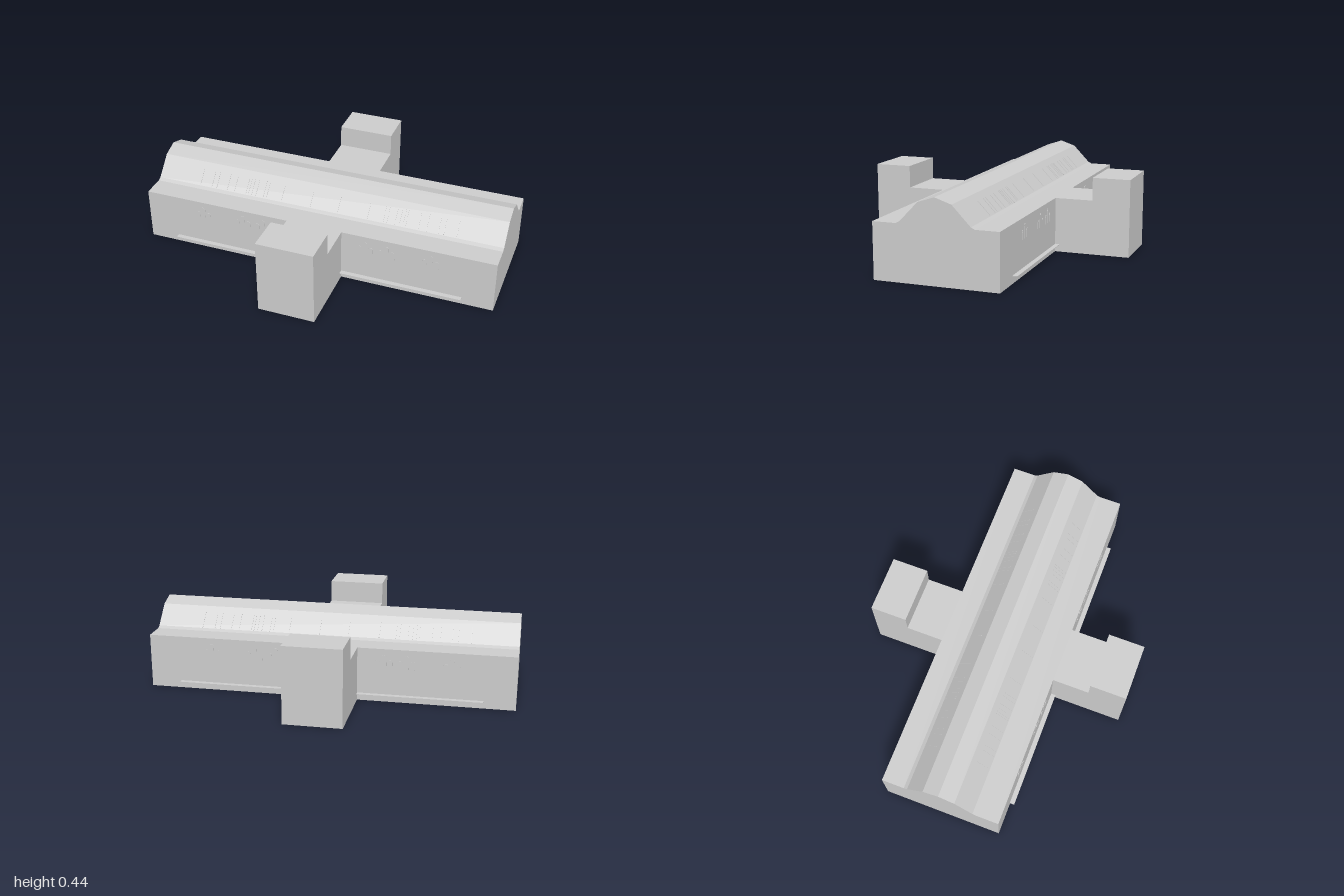
import * as THREE from 'three';

const material = new THREE.MeshStandardMaterial({ color: 0xcccccc, flatShading: true });

function shapeOf(points) {
  return new THREE.Shape(points.map(([x, y]) => new THREE.Vector2(x, y)));
}

// Extrude a (z, y) profile along x, centred on x = 0
function extrudeAlongX(points, length) {
  const g = new THREE.ExtrudeGeometry(shapeOf(points), { depth: length, bevelEnabled: false });
  g.translate(0, 0, -length / 2);
  g.rotateY(-Math.PI / 2);
  return g;
}

function add(parent, name, geometry) {
  const mesh = new THREE.Mesh(geometry, material);
  mesh.name = name;
  parent.add(mesh);
  return mesh;
}

// Round-headed window pane standing on y = 0, facing +z
function archedPane(width, height) {
  const r = width / 2;
  const s = new THREE.Shape();
  s.moveTo(-r, 0);
  s.lineTo(r, 0);
  s.lineTo(r, height - r);
  s.absarc(0, height - r, r, 0, Math.PI, false);
  s.lineTo(-r, 0);
  return new THREE.ExtrudeGeometry(s, { depth: 0.002, bevelEnabled: false, curveSegments: 6 });
}

const WALL_Z = 0.33, EAVE = 0.295, ARM_X = 0.157;
const WINDOW_X = [-0.66, -0.42, -0.3, 0.29, 0.41, 0.65];
const RIB_X = [0.08, 0.25, 0.34, 0.36, 0.405, 0.43, 0.45, 0.465, 0.535, 0.58, 0.645, 0.675, 0.745];

// Everything on one long side, built facing +z
function createSide() {
  const side = new THREE.Group();

  // Projecting wing with its raised end block
  add(side, 'wing', extrudeAlongX([
    [WALL_Z, 0], [0.738, 0], [0.738, 0.418], [0.535, 0.418], [0.535, EAVE], [WALL_Z, EAVE],
  ], ARM_X * 2));

  // Thin ledges low on the wall, either side of the wing
  for (const s of [-1, 1]) {
    const ledge = add(side, 'wallLedge', new THREE.BoxGeometry(0.83 - ARM_X, 0.003, 0.026));
    ledge.position.set(s * (0.83 + ARM_X) / 2, 0.04, WALL_Z + 0.013);
  }

  // Slim ribs lying on the steep roof slope
  const slope = Math.atan2(0.1, 0.095);
  for (const x of RIB_X) for (const s of [-1, 1]) {
    const rib = add(side, 'roofRib', new THREE.BoxGeometry(0.003, 0.003, 0.095));
    rib.position.set(s * x, 0.3425, 0.15);
    rib.rotation.x = slope;
  }
  return side;
}

// Three arched lights, the middle one taller
function createWindowGroup() {
  const group = new THREE.Group();
  group.name = 'windowGroup';
  for (const [x, w, h] of [[-0.033, 0.024, 0.046], [0, 0.026, 0.075], [0.033, 0.024, 0.046]]) {
    add(group, 'archedWindow', archedPane(w, h)).position.x = x;
  }
  return group;
}

export function createModel() {
  const model = new THREE.Group();
  model.name = 'longHall';

  // Main hall with flat aprons and a faceted ridge roof
  add(model, 'mainHall', extrudeAlongX([
    [-WALL_Z, 0], [WALL_Z, 0], [WALL_Z, EAVE], [0.205, EAVE], [0.185, 0.305], [0.088, 0.406],
    [0, 0.435], [-0.088, 0.406], [-0.185, 0.305], [-0.205, EAVE], [-WALL_Z, EAVE],
  ], 2));

  const front = createSide();
  front.name = 'frontSide';
  const back = createSide();
  back.name = 'backSide';
  back.rotation.y = Math.PI;
  model.add(front, back);

  // Windows share the same x positions on both walls
  for (const x of WINDOW_X) for (const s of [1, -1]) {
    const windows = createWindowGroup();
    windows.position.set(x, 0.188, s * WALL_Z);
    windows.rotation.y = s > 0 ? 0 : Math.PI;
    model.add(windows);
  }
  return model;
}
